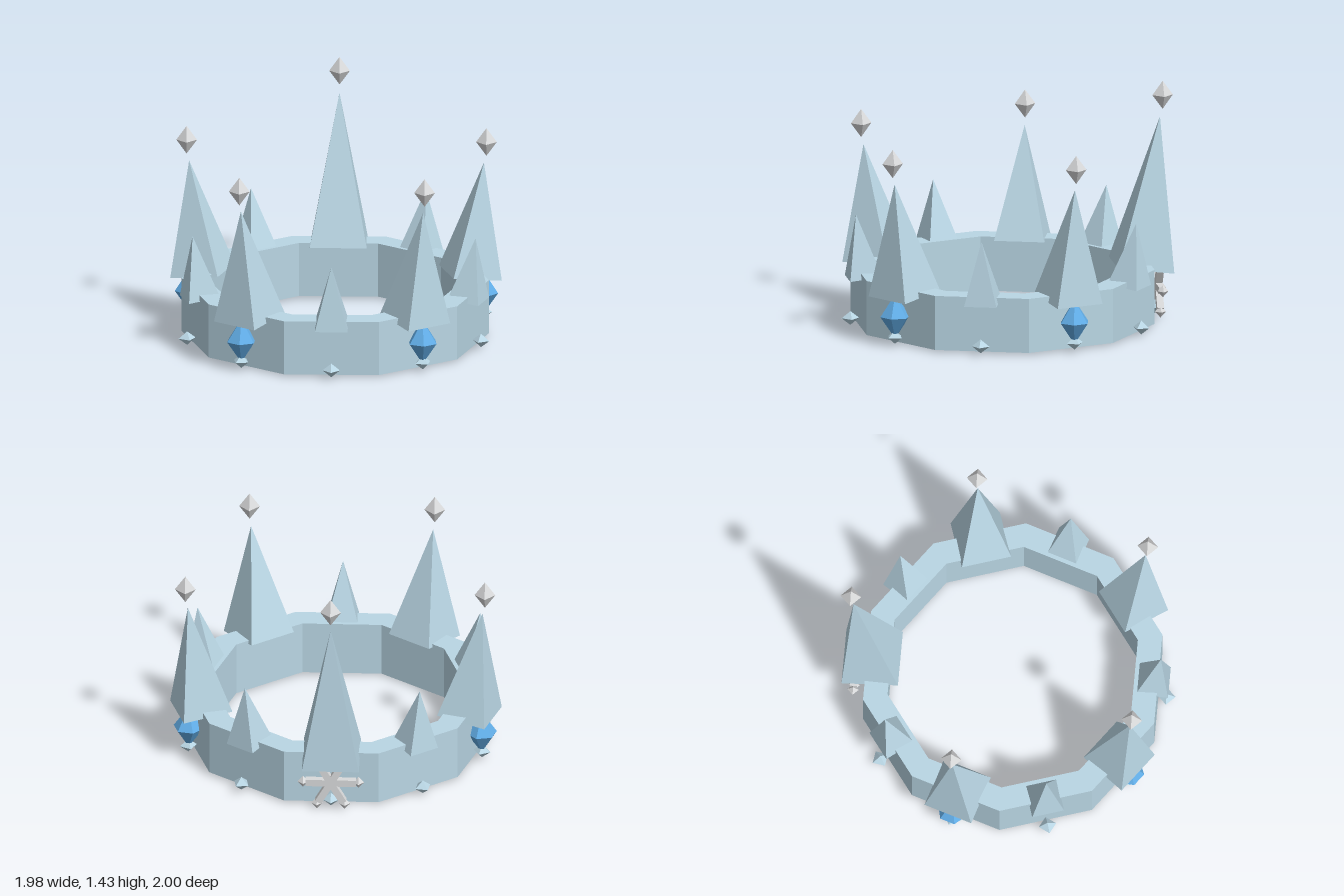
import * as THREE from 'three';

const ice = new THREE.MeshStandardMaterial({ name: 'ice', color: 0xb9d6e4 });
const blue = new THREE.MeshStandardMaterial({ name: 'blue gem', color: 0x62aee8 });
const silver = new THREE.MeshStandardMaterial({ name: 'silver', color: 0xd9dadb });

const SIDES = 10, STEP = (Math.PI * 2) / SIDES;
const LEAN = THREE.MathUtils.degToRad(7);
const SPIKE_Y = 0.306, SPIKE_R = 0.84;

function part(name, geometry, material, x = 0, y = 0, z = 0) {
  const mesh = new THREE.Mesh(geometry, material);
  mesh.name = name;
  mesh.position.set(x, y, z);
  return mesh;
}

function faceted(geometry) {
  const g = geometry.toNonIndexed();
  g.computeVertexNormals();
  return g;
}

// Four-sided double pyramid with corners on the axes
function gem(halfWidth, halfHeight) {
  return new THREE.OctahedronGeometry(1, 0).scale(halfWidth, halfHeight, halfWidth);
}

// Six-sided double pyramid with a flat side facing outwards
function hexGem(radius, halfHeight) {
  const profile = [[0, -halfHeight], [radius, 0], [0, halfHeight]].map(p => new THREE.Vector2(...p));
  return faceted(new THREE.LatheGeometry(profile, 6, Math.PI / 6));
}

// Square pyramid standing on its base
function spike(width, height) {
  return faceted(new THREE.ConeGeometry(width / Math.SQRT2, height, 4, 1)
    .rotateY(Math.PI / 4).translate(0, height / 2, 0));
}

function ringPoints(radius) {
  return Array.from({ length: SIDES }, (_, i) => {
    const a = (i + 0.5) * STEP;
    return new THREE.Vector2(radius * Math.sin(a), radius * Math.cos(a));
  });
}

// Ten-sided ring; the opening runs the other way round so its walls face inwards
function band() {
  const shape = new THREE.Shape(ringPoints(0.915));
  shape.holes.push(new THREE.Path(ringPoints(0.765).reverse()));
  const g = new THREE.ExtrudeGeometry(shape, { depth: 0.33, bevelEnabled: false });
  return g.rotateX(-Math.PI / 2).translate(0, 0.01, 0);
}

// Six-armed ornament with a small gem on each tip
function snowflake() {
  const group = new THREE.Group();
  group.name = 'snowflake';
  for (let i = 0; i < 6; i++) {
    const a = (i * Math.PI) / 3;
    if (i < 3) {
      const bar = part('snowflakeBar', new THREE.BoxGeometry(0.3, 0.042, 0.042), silver);
      bar.rotation.z = a;
      group.add(bar);
    }
    group.add(part('snowflakeGem', gem(0.034, 0.037), silver,
      0.165 * Math.cos(a), 0.165 * Math.sin(a), 0));
  }
  return group;
}

export function createModel() {
  const crown = new THREE.Group();
  crown.name = 'crown';
  const ring = new THREE.Group();
  ring.name = 'ring';
  ring.position.z = 0.03;
  crown.add(ring);
  ring.add(part('band', band(), ice));

  const kinds = {
    small: { width: 0.195, height: 0.38 },
    medium: { width: 0.302, height: 0.684, gemY: 1.112 },
    large: { width: 0.34, height: 0.912, gemY: 1.342 },
  };
  // Ornaments for the ten faces, starting at the front
  const order = ['small', 'medium', 'small', 'medium', 'small',
    'large', 'small', 'medium', 'small', 'medium'];

  order.forEach((kind, i) => {
    const { width, height, gemY } = kinds[kind];
    const station = new THREE.Group();
    station.name = kind + 'Station';
    station.rotation.y = i * STEP;

    const point = part(kind + 'Spike', spike(width, height), ice, 0, SPIKE_Y, SPIKE_R);
    point.rotation.x = LEAN;
    station.add(point);
    station.add(part('bandStud', gem(0.053, 0.042), ice, 0, 0.052, 0.92));

    if (kind === 'medium') station.add(part('blueGem', hexGem(0.092, 0.135), blue, 0, 0.178, 0.918));
    if (kind === 'large') {
      const flake = snowflake();
      flake.position.set(0, 0.18, 0.94);
      station.add(flake);
    }
    // Gem floating above the tip, square to the whole crown
    if (gemY) {
      const r = SPIKE_R + (gemY - SPIKE_Y) * Math.tan(LEAN);
      const floating = part('floatingGem', gem(0.062, 0.086), silver, 0, gemY, r);
      floating.rotation.y = -i * STEP;
      station.add(floating);
    }
    ring.add(station);
  });
  return crown;
}
